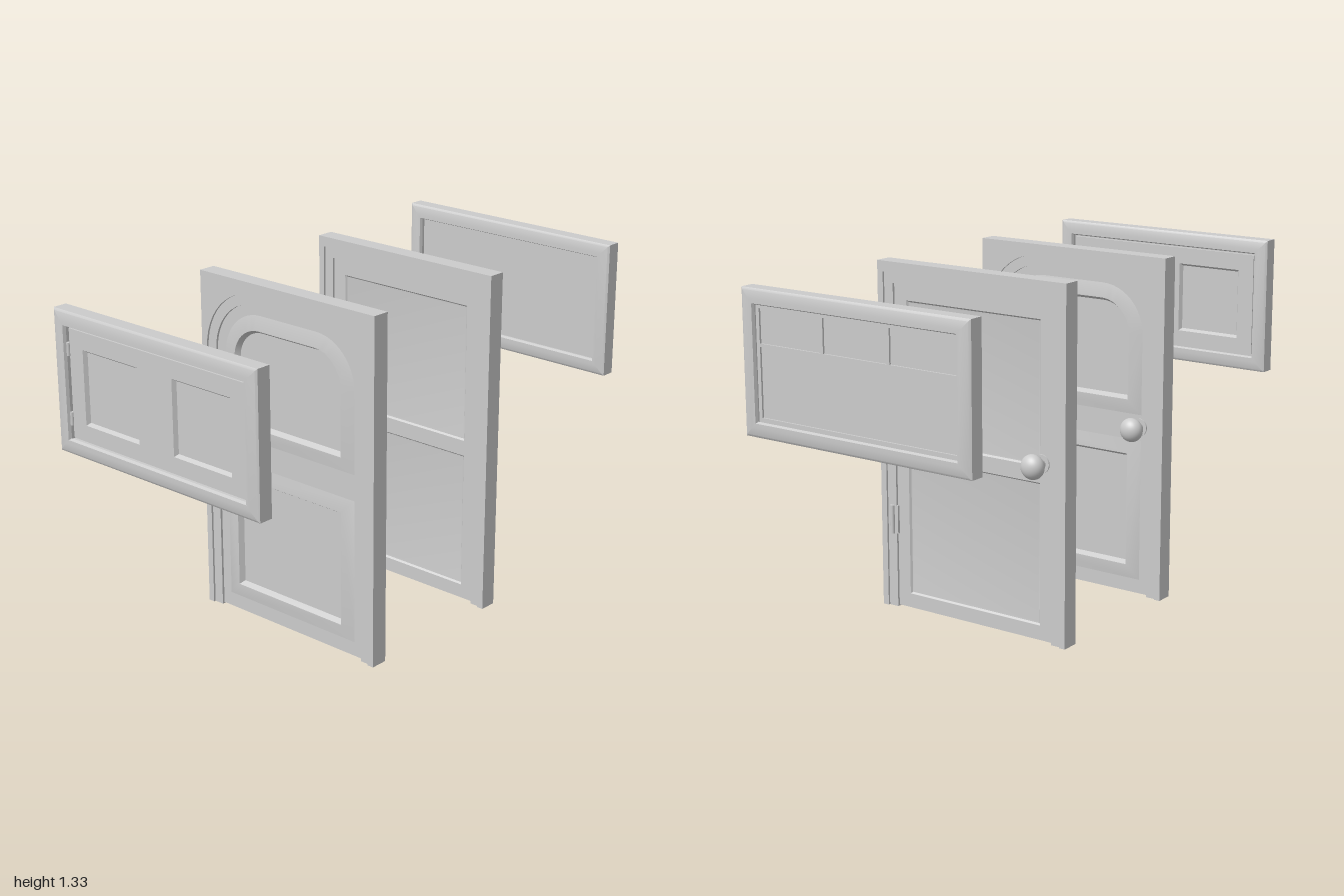
import * as THREE from 'three';
import { toCreasedNormals } from 'three/addons/utils/BufferGeometryUtils.js';

const grey = new THREE.MeshStandardMaterial({ color: 0xcccccc });

function add(group, name, geometry, x = 0, y = 0, z = 0) {
  const mesh = new THREE.Mesh(geometry, grey);
  mesh.name = name;
  mesh.position.set(x, y, z);
  group.add(mesh);
  return mesh;
}

// Counter-clockwise rectangle, with rounded top corners when r > 0
function loop([x0, x1, y0, y1, r = 0]) {
  const pts = [[x0, y0], [x1, y0]];
  if (r <= 0) pts.push([x1, y1], [x0, y1]);
  else for (const [cx, start] of [[x1 - r, 0], [x0 + r, Math.PI / 2]]) {
    for (let i = 0; i <= 12; i++) {
      const a = start + (i / 12) * Math.PI / 2;
      pts.push([cx + r * Math.cos(a), y1 - r + r * Math.sin(a)]);
    }
  }
  return pts.map(([x, y]) => new THREE.Vector2(x, y));
}

const inset = ([x0, x1, y0, y1, r = 0], d) => [x0 + d, x1 - d, y0 + d, y1 - d, r ? Math.max(r - d, 0.01) : 0];

function slab(shape, half) {
  const g = new THREE.ExtrudeGeometry(shape, { depth: half * 2, bevelEnabled: false });
  g.translate(0, 0, -half);
  return toCreasedNormals(g, 0.5);
}

// Flat board with openings
function board(rect, holes, half) {
  const shape = new THREE.Shape(loop(rect));
  shape.holes = holes.map(h => new THREE.Path(loop(h)));
  return slab(shape, half);
}

// Door frame, open at the foot
function jamb([x0, x1, y0, y1, r = 0], hole, half) {
  const h = loop(hole);
  const outer = loop([x0, x1, y0, y1, r]);
  const inner = [h[0], ...h.slice(2).reverse(), h[1]];
  return slab(new THREE.Shape([outer[0], ...inner, ...outer.slice(1)]), half);
}

// Moulding stepped inwards from loop to loop; side -1 gives the rear face
function moulding(rect, steps, side, cap = true) {
  const loops = steps.map(([d, z]) => loop(inset(rect, d)).map(p => [p.x, p.y, z * side]));
  const pos = [];
  const tri = (a, b, c) => pos.push(...a, ...(side > 0 ? b : c), ...(side > 0 ? c : b));
  for (let k = 0; k + 1 < loops.length; k++) {
    const a = loops[k], b = loops[k + 1], n = a.length;
    for (let i = 0; i < n; i++) {
      const j = (i + 1) % n;
      tri(a[i], a[j], b[j]);
      tri(a[i], b[j], b[i]);
    }
  }
  const last = loops[loops.length - 1];
  if (cap) for (let i = 1; i + 1 < last.length; i++) tri(last[0], last[i], last[i + 1]);
  const g = new THREE.BufferGeometry();
  g.setAttribute('position', new THREE.Float32BufferAttribute(pos, 3));
  g.computeVertexNormals();
  return toCreasedNormals(g, 0.4);
}

function panels(group, rects, steps) {
  for (const rect of rects) for (const side of [1, -1]) add(group, 'panel', moulding(rect, steps, side));
}

// Knobs on both faces and hinges on the rear
function doorFittings(group) {
  for (const side of [1, -1]) {
    add(group, 'knob', new THREE.SphereGeometry(0.046, 32, 20), -0.307, 0.668, side * 0.073).scale.z = 0.8;
    add(group, 'knobStem', new THREE.CylinderGeometry(0.018, 0.024, 0.045, 24), -0.307, 0.668, side * 0.034).rotation.x = Math.PI / 2;
    add(group, 'knobRose', new THREE.CylinderGeometry(0.034, 0.034, 0.008, 24), -0.307, 0.668, side * 0.018).rotation.x = Math.PI / 2;
  }
  for (const y of [0.345, 0.925]) {
    add(group, 'hinge', new THREE.CylinderGeometry(0.008, 0.008, 0.11, 12), 0.37, y, -0.032);
    add(group, 'hingeLeaf', new THREE.BoxGeometry(0.035, 0.11, 0.01), 0.365, y, -0.023);
  }
}

function makeDoor(name, arched) {
  const group = new THREE.Group();
  group.name = name;
  const opening = [-0.395, 0.395, 0, 1.285, arched ? 0.25 : 0];
  const leaf = [-0.355, 0.355, 0, 1.245, arched ? 0.21 : 0];
  add(group, 'outerFrame', jamb([-0.42, 0.42, 0, 1.325], opening, 0.034));
  add(group, 'innerFrame', jamb(opening, leaf, 0.026));
  const leafRect = [-0.355, 0.355, 0.005, 1.245, leaf[4]];
  if (arched) {
    const rects = [[-0.315, 0.315, 0.06, 0.615], [-0.315, 0.315, 0.715, 1.205, 0.18]];
    add(group, 'leaf', board(leafRect, rects, 0.017));
    panels(group, rects, [[0, 0.017], [0.052, 0.028], [0.056, 0.028], [0.068, 0.008]]);
  } else {
    const rects = [[-0.3, 0.3, 0.06, 0.595], [-0.3, 0.3, 0.655, 1.185]];
    add(group, 'leaf', board(leafRect, rects, 0.017));
    panels(group, rects, [[0, 0.017], [0.006, 0.01], [0.012, 0.009]]);
  }
  doorFittings(group);
  return group;
}

// Window surround with sloped faces
function windowFrame(group, rect, opening) {
  add(group, 'frameEdge', board(rect, [opening], 0.027));
  for (const side of [1, -1]) {
    add(group, 'frameMoulding', moulding(rect, [[0, 0.027], [0.008, 0.032], [0.036, 0.037], [0.052, 0.037], [0.057, 0.026]], side, false));
  }
}

function makePanelWindow() {
  const group = new THREE.Group();
  group.name = 'panelWindow';
  const rect = [-0.4875, 0.4875, 0.79, 1.315];
  const opening = inset(rect, 0.053);
  const rects = [[-0.36, -0.08, 0.907, 1.19], [0.08, 0.36, 0.907, 1.19]];
  windowFrame(group, rect, opening);
  add(group, 'stop', board(opening, [inset(opening, 0.03)], 0.008));
  add(group, 'shutter', board(inset(opening, 0.011), rects, 0.02));
  panels(group, rects, [[0, 0.02], [0.004, 0.02], [0.013, 0.006]]);
  for (const x of [-0.43, 0.43]) for (const y of [0.92, 1.175]) {
    add(group, 'hinge', new THREE.CylinderGeometry(0.008, 0.008, 0.048, 12), x, y, 0.02);
  }
  return group;
}

function makeBarredWindow() {
  const group = new THREE.Group();
  group.name = 'barredWindow';
  const rect = [-0.4925, 0.4925, 0.79, 1.315];
  const opening = inset(rect, 0.053);
  windowFrame(group, rect, opening);
  add(group, 'pane', new THREE.BoxGeometry(0.9, 0.44, 0.02), 0, 1.0525, 0);
  // Three small lights above one wide light
  const cells = [[-0.425, 0.425, 0.86, 1.11]];
  for (let i = 0; i < 3; i++) cells.push([-0.425 + i * 0.287, -0.425 + i * 0.287 + 0.276, 1.122, 1.245]);
  const bars = add(group, 'bars', board(opening, cells, 0.007), 0, 0, -0.0105);
  bars.name = 'glazingBars';
  return group;
}

export function createModel() {
  const model = new THREE.Group();
  model.name = 'doorsAndWindows';
  const parts = [
    [makePanelWindow(), 0.0025, 0.961],
    [makeDoor('archedDoor', true), 0.005, 0.326],
    [makeDoor('squareDoor', false), 0.004, -0.312],
    [makeBarredWindow(), -0.0075, -0.961],
  ];
  for (const [part, x, z] of parts) {
    part.position.set(x, 0, z);
    model.add(part);
  }
  return model;
}
